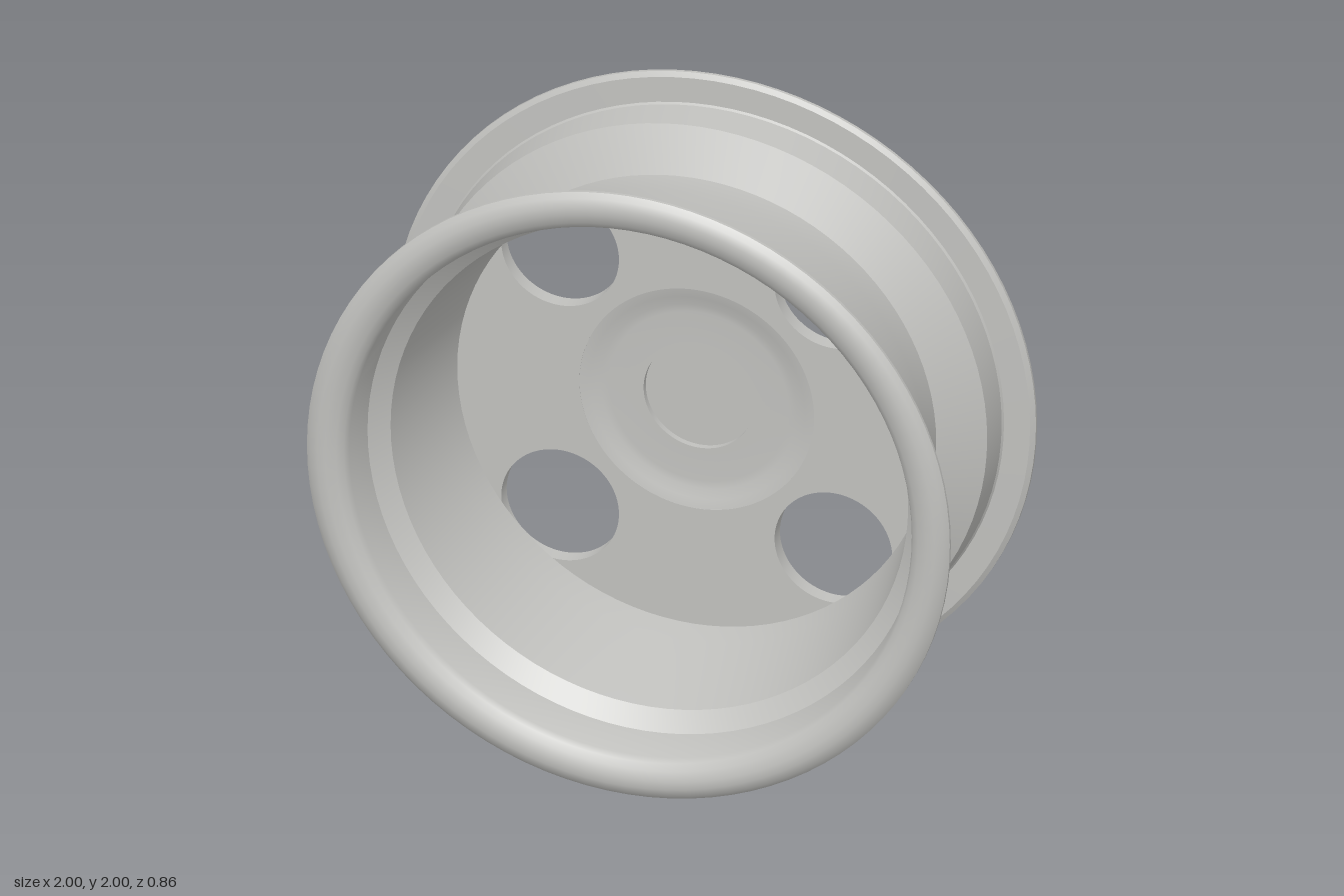
import * as THREE from 'three';
import { toCreasedNormals } from 'three/addons/utils/BufferGeometryUtils.js';

const metal = new THREE.MeshStandardMaterial({ color: 0xc0c0bd });
metal.name = 'grey metal';

// Spins a [radius, z] profile round the z axis
function spin(name, profile, segments = 96, crease = 0.5) {
  const points = profile.map(([r, z]) => new THREE.Vector2(r, z));
  const geometry = new THREE.LatheGeometry(points, segments).rotateX(Math.PI / 2);
  return named(name, toCreasedNormals(geometry, crease));
}

function named(name, geometry) {
  const mesh = new THREE.Mesh(geometry, metal);
  mesh.name = name;
  return mesh;
}

// Flat plate with four round openings
function makePlate() {
  const shape = new THREE.Shape().absarc(0, 0, 0.8, 0, Math.PI * 2, false);
  shape.holes.push(new THREE.Path().absarc(0, 0, 0.365, 0, Math.PI * 2, true));
  for (const x of [-0.425, 0.425]) {
    for (const y of [-0.425, 0.425]) {
      shape.holes.push(new THREE.Path().absarc(x, y, 0.183, 0, Math.PI * 2, true));
    }
  }
  const geometry = new THREE.ExtrudeGeometry(shape, { depth: 0.05, bevelEnabled: false, curveSegments: 48 });
  return named('discPlate', toCreasedNormals(geometry.translate(0, 0, -0.28), 0.5));
}

export function createModel() {
  const wheel = new THREE.Group();
  wheel.name = 'wheelRim';
  const body = new THREE.Group();
  body.name = 'wheelBody';
  body.position.y = 1;
  wheel.add(body);

  // Barrel with both flanges and the bowl around the disc
  body.add(spin('barrel', [
    [0.79, -0.28], [0.815, -0.315], [0.85, -0.355], [0.89, -0.39], [0.935, -0.418], [0.965, -0.43],
    [0.985, -0.425], [1, -0.405], [1, -0.395], [0.985, -0.385], [0.905, -0.382],
    [0.9, -0.375], [0.89, -0.27], [0.755, -0.2], [0.755, -0.11], [0.83, 0.22], [0.885, 0.26], [0.9, 0.382],
    [0.985, 0.385], [1, 0.395], [1, 0.405], [0.985, 0.42], [0.96, 0.43], [0.935, 0.43],
    [0.905, 0.42], [0.885, 0.405], [0.875, 0.385],
    [0.86, 0.26], [0.805, 0.21], [0.745, -0.11], [0.735, -0.2], [0.79, -0.235], [0.79, -0.28],
  ]));
  body.add(makePlate());

  // Raised hub pad and its domed cap
  body.add(spin('hubPad', [
    [0.172, -0.25], [0.172, -0.3], [0.28, -0.3], [0.305, -0.298], [0.335, -0.287], [0.37, -0.28],
    [0.37, -0.23], [0.335, -0.237], [0.305, -0.248], [0.28, -0.25], [0.172, -0.25],
  ]));
  body.add(spin('centreCap', [
    [0, -0.335], [0.06, -0.331], [0.11, -0.322], [0.15, -0.31], [0.172, -0.295], [0.172, -0.27], [0, -0.27],
  ]));

  // Four lug nuts: hexagon body with a domed tip
  for (let i = 0; i < 4; i++) {
    const angle = Math.PI / 4 + i * Math.PI / 2;
    const nut = new THREE.Group();
    nut.name = 'lugNut' + (i + 1);
    nut.add(spin('nutHex', [[0, -0.035], [0.045, -0.035], [0.055, -0.025], [0.055, 0.01], [0, 0.01]], 6, 0.3));
    nut.add(spin('nutTip', [[0, -0.065], [0.02, -0.061], [0.036, -0.05], [0.044, -0.033], [0, -0.033]], 24, 0.6));
    nut.position.set(0.275 * Math.cos(angle), 0.275 * Math.sin(angle), -0.3);
    body.add(nut);
  }

  // Valve stem poking through the bowl at the bottom
  const from = new THREE.Vector3(-0.03, -0.8, -0.21);
  const to = new THREE.Vector3(-0.03, -0.87, -0.395);
  const axis = to.clone().sub(from);
  const stem = named('valveStem', new THREE.CylinderGeometry(0.011, 0.024, axis.length(), 16));
  stem.position.copy(from).add(to).multiplyScalar(0.5);
  stem.quaternion.setFromUnitVectors(new THREE.Vector3(0, 1, 0), axis.normalize());
  body.add(stem);

  return wheel;
}
